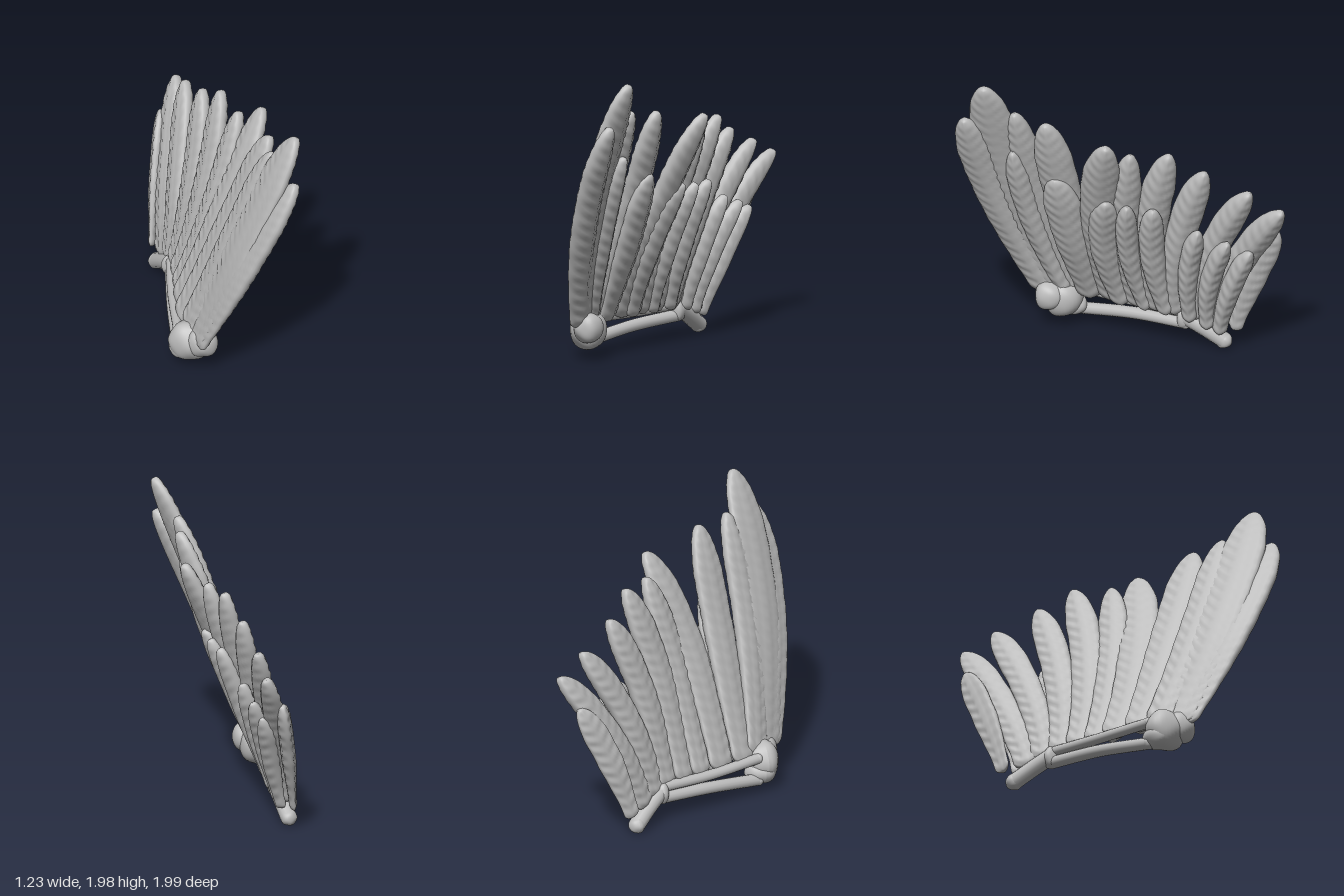
import * as THREE from 'three';

const plaster = new THREE.MeshStandardMaterial({ color: 0xbcbcbc });
plaster.name = 'plaster grey';

const V = (x, y, z) => new THREE.Vector3(x, y, z);
const lerp = THREE.MathUtils.lerp;
const SHOULDER = V(-0.26, 0, 0.56), WRIST = V(-0.42, 0.21, -0.21), HAND_END = V(-0.545, 0.06, -0.43);

// Point on the arm where a feather grows, found from its z
function rootAt(z) {
  if (z > 0.5) return V(lerp(-0.25, -0.1, (z - 0.5) / 0.2), 0.25, z);
  if (z > -0.21) return V(lerp(-0.4, -0.25, (z + 0.21) / 0.71), 0.23, z);
  const k = (-0.21 - z) / 0.23;
  return V(lerp(-0.41, -0.54, k), lerp(0.22, 0.12, k), z);
}

// Outline of a feather: quill end, broad vane, blunt rounded point
function outline(t, rootWidth) {
  let w = lerp(rootWidth, 1, THREE.MathUtils.smoothstep(t, 0, 0.55));
  if (t < 0.05) w *= Math.sqrt(Math.max(0, 1 - (1 - t / 0.05) ** 2));
  if (t > 0.74) w *= Math.max(0, 1 - ((t - 0.74) / 0.26) ** 2) ** 0.55;
  return w;
}

// Feather lofted along a bent spine, with a raised shaft and slanting barbs
function feather(name, root, midZ, tip, width, { rootWidth, thick, bow = 0, across = V(0.5, 0, 0.87) }) {
  const mid = root.clone().add(tip).multiplyScalar(0.5);
  const ctrl = V(mid.x + 2 * bow, mid.y, 2 * midZ - mid.z);
  const spine = new THREE.QuadraticBezierCurve3(root, ctrl, tip);
  const length = spine.getLength();
  const rings = 90, sides = 24, pos = [], index = [];
  for (let i = 0; i <= rings; i++) {
    const even = i / rings;
    const t = lerp(even, (1 - Math.cos(Math.PI * even)) / 2, 0.7);
    const p = spine.getPoint(t), T = spine.getTangent(t);
    const W = across.clone().addScaledVector(T, -across.dot(T)).normalize();
    const N = T.clone().cross(W);
    const w = outline(t, rootWidth), half = width * 0.5 * w;
    const depth = thick * Math.sqrt(w) * lerp(0.65, 1, THREE.MathUtils.smoothstep(t, 0, 0.5));
    for (let j = 0; j < sides; j++) {
      const a = (j / sides) * Math.PI * 2, s = Math.cos(a), u = Math.sin(a);
      const shaft = 0.008 * Math.exp(-((s / 0.16) ** 2));
      const barb = 0.011 * Math.sin((t * length - Math.abs(s) * half * 0.9) * 70) * Math.abs(s) * (1 - s * s);
      const off = Math.sign(u) * (Math.abs(u) ** 0.85 * depth + (shaft + barb) * w) - 0.02 * s * s * w;
      const edge = s * half * (1 + 0.015 * Math.sin(t * length * 30));
      const q = p.clone().addScaledVector(W, edge).addScaledVector(N, off);
      pos.push(q.x, q.y, q.z);
      if (i < rings) {
        const b = i * sides + j, c = i * sides + ((j + 1) % sides);
        index.push(b, c, b + sides, c, c + sides, b + sides);
      }
    }
  }
  const g = new THREE.BufferGeometry();
  g.setAttribute('position', new THREE.Float32BufferAttribute(pos, 3));
  g.setIndex(index);
  g.computeVertexNormals();
  const m = new THREE.Mesh(g, plaster);
  m.name = name;
  return m;
}

// Rounded lump, gently uneven
function lump(name, c, rx, ry, rz) {
  const g = new THREE.SphereGeometry(1, 32, 24);
  const p = g.attributes.position, v = V(0, 0, 0);
  for (let i = 0; i < p.count; i++) {
    v.fromBufferAttribute(p, i);
    v.multiplyScalar(1 + 0.035 * Math.sin(v.x * 5 + 1) * Math.cos(v.y * 4) + 0.03 * Math.sin(v.z * 5));
    p.setXYZ(i, v.x * rx, v.y * ry, v.z * rz);
  }
  g.computeVertexNormals();
  const m = new THREE.Mesh(g, plaster);
  m.position.copy(c);
  m.name = name;
  return m;
}

// Bone along a smooth curve, with rounded ends
function bone(name, points, r) {
  const grp = new THREE.Group();
  grp.name = name;
  const shaft = new THREE.Mesh(new THREE.TubeGeometry(new THREE.CatmullRomCurve3(points), 32, r, 14), plaster);
  shaft.name = name + 'Shaft';
  grp.add(shaft);
  for (const p of [points[0], points[points.length - 1]]) grp.add(lump(name + 'End', p, r, r, r));
  return grp;
}

export function createModel() {
  const wing = new THREE.Group();
  wing.name = 'wing';

  // Long flight feathers: root z, middle z, tip x y z, width, sideways bow
  const flight = [
    [0.70, 0.865, 0.575, 1.71, 0.87, 0.25, 0],
    [0.66, 0.77, 0.555, 1.98, 0.72, 0.31, 0],
    [0.57, 0.63, 0.38, 1.76, 0.60, 0.22, 0.01],
    [0.46, 0.42, 0.33, 1.73, 0.38, 0.26, 0.02],
    [0.28, 0.19, 0.22, 1.65, -0.05, 0.26, 0.03],
    [0.12, 0.04, 0.05, 1.55, -0.12, 0.20, 0.045],
    [-0.01, -0.11, -0.10, 1.56, -0.33, 0.22, 0.055],
    [-0.14, -0.27, -0.25, 1.43, -0.51, 0.21, 0.04],
    [-0.25, -0.44, -0.40, 1.30, -0.77, 0.20, 0.02],
    [-0.35, -0.59, -0.49, 1.19, -0.97, 0.20, 0],
  ];
  for (const [rz, mz, x, y, z, w, bow] of flight)
    wing.add(feather('flightFeather', rootAt(rz), mz, V(x, y, z), w, { rootWidth: 0.85, thick: 0.058, bow }));

  // Outermost feather, lying flat along the end of the hand
  wing.add(feather('outerFeather', V(-0.585, 0.14, -0.48), -0.64, V(-0.575, 0.98, -0.86), 0.18,
    { rootWidth: 0.6, thick: 0.042, across: V(0.12, 0, 1) }));

  // Shorter covering feathers layered over the flight feathers
  const coverts = [
    [0.60, 0.66, 0.35, 1.45, 0.64, 0.17],
    [0.45, 0.41, 0.23, 1.29, 0.38, 0.25],
    [0.22, 0.19, 0.10, 1.17, 0.05, 0.21],
    [0.05, 0.03, 0.04, 1.15, -0.08, 0.15],
    [-0.10, -0.12, -0.05, 1.14, -0.23, 0.17],
    [-0.25, -0.32, -0.24, 0.98, -0.46, 0.14],
    [-0.35, -0.44, -0.34, 0.91, -0.63, 0.14],
    [-0.42, -0.56, -0.43, 0.85, -0.75, 0.14],
  ];
  for (const [rz, mz, x, y, z, w] of coverts) {
    const root = rootAt(rz).add(V(0.035, 0, -0.01));
    wing.add(feather('covertFeather', root, mz, V(x, y, z), w, { rootWidth: 0.7, thick: 0.05, bow: 0.015 }));
  }

  // Two forearm bones with a gap between, and the hand bone
  const at = (p, y) => V(p.x, y, p.z);
  wing.add(bone('upperForearmBone', [at(SHOULDER, 0.25), V(-0.35, 0.235, 0.18), at(WRIST, 0.24)], 0.035));
  wing.add(bone('lowerForearmBone', [at(SHOULDER, 0.1), V(-0.35, 0.145, 0.18), at(WRIST, 0.165)], 0.041));
  wing.add(bone('handBone', [WRIST, V(-0.48, 0.14, -0.32), HAND_END], 0.055));
  wing.add(lump('wrist', V(-0.42, 0.2, -0.2), 0.06, 0.075, 0.05));

  // Lumpy shoulder joint
  wing.add(lump('shoulder', V(-0.17, 0.2, 0.62), 0.14, 0.14, 0.12));
  wing.add(lump('shoulderFront', V(-0.08, 0.23, 0.67), 0.105, 0.105, 0.1));
  wing.add(lump('shoulderBase', V(-0.22, 0.14, 0.6), 0.09, 0.08, 0.11));
  return wing;
}
